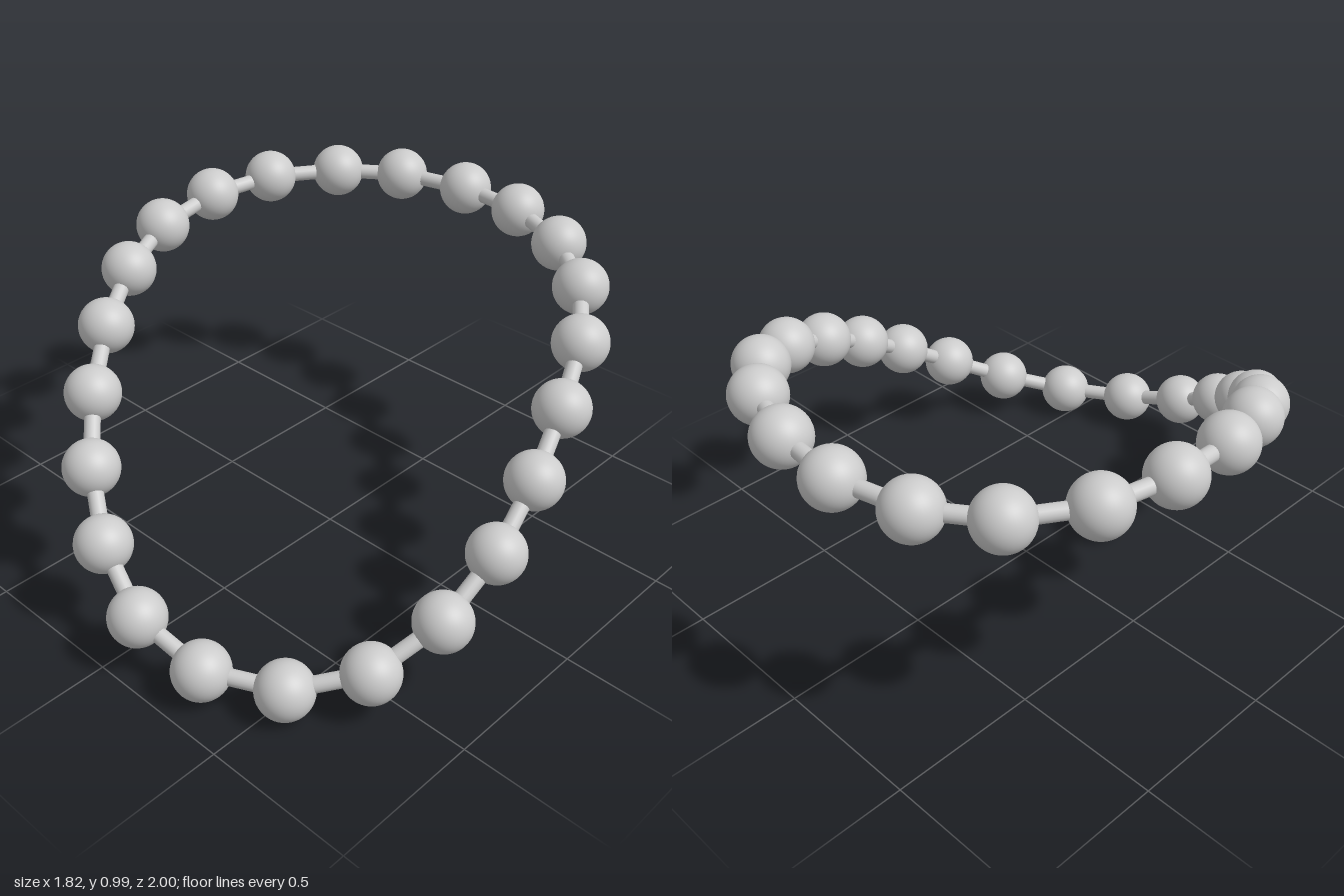
import * as THREE from 'three';

export function createModel() {
  const group = new THREE.Group();
  group.name = 'beadedNecklace';
  const material = new THREE.MeshStandardMaterial({ color: 0xcccccc, roughness: 0.6 });

  // Bead centres in order around the closed, draped loop
  const centres = [
    [-0.19, 0.9, -0.91], [0.06, 0.9, -0.89], [0.3, 0.885, -0.8], [0.49, 0.845, -0.66],
    [0.63, 0.772, -0.47], [0.72, 0.668, -0.26], [0.785, 0.544, -0.05], [0.818, 0.41, 0.16],
    [0.8, 0.273, 0.37], [0.71, 0.155, 0.575], [0.535, 0.095, 0.75], [0.31, 0.106, 0.87],
    [0.072, 0.188, 0.905], [-0.14, 0.316, 0.85], [-0.318, 0.455, 0.74], [-0.475, 0.594, 0.595],
    [-0.61, 0.714, 0.42], [-0.72, 0.81, 0.225], [-0.8, 0.868, 0.003], [-0.82, 0.896, -0.25],
    [-0.773, 0.902, -0.495], [-0.634, 0.9, -0.71], [-0.44, 0.9, -0.848],
  ].map((p) => new THREE.Vector3(...p));

  const beadGeometry = new THREE.SphereGeometry(0.092, 40, 28);
  const linkGeometry = new THREE.CylinderGeometry(0.026, 0.026, 1, 20);
  const up = new THREE.Vector3(0, 1, 0);

  centres.forEach((centre, i) => {
    const next = centres[(i + 1) % centres.length];

    const bead = new THREE.Mesh(beadGeometry, material);
    bead.name = `bead${i + 1}`;
    bead.position.copy(centre);
    group.add(bead);

    // Straight length of cord running from this bead to the next
    const span = next.clone().sub(centre);
    const link = new THREE.Mesh(linkGeometry, material);
    link.name = `cord${i + 1}`;
    link.position.copy(centre).lerp(next, 0.5);
    link.scale.y = span.length();
    link.quaternion.setFromUnitVectors(up, span.normalize());
    group.add(link);
  });

  return group;
}
